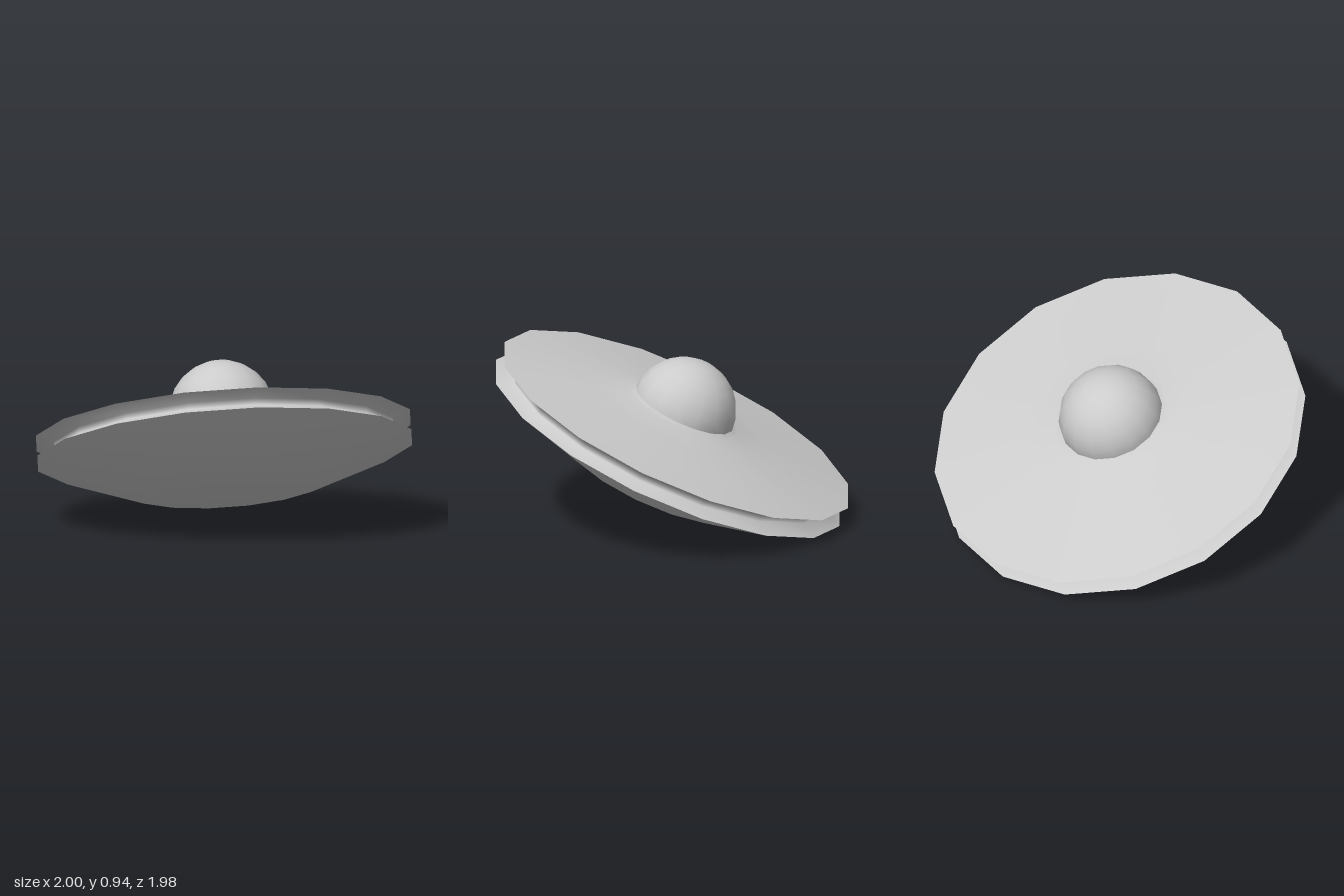
import * as THREE from 'three';

const SIDES = 16;
const RIM = 1.025;

export function createModel() {
  const material = new THREE.MeshStandardMaterial({ color: 0xcccccc });
  const saucer = new THREE.Group();
  saucer.name = 'saucer';

  // Profiles are [radius, height], listed from bottom to top of the outside
  const addRing = (name, profile) => {
    const points = profile.map(([r, y]) => new THREE.Vector2(r, y));
    const mesh = new THREE.Mesh(new THREE.LatheGeometry(points, SIDES), material);
    mesh.name = name;
    saucer.add(mesh);
  };

  // Shallow bowl with a flat floor
  addRing('lowerHull', [[0, -0.25], [0.54, -0.25], [RIM, -0.055]]);

  // Recessed channel between the two rims
  addRing('rimGroove', [[RIM, -0.055], [0.93, -0.018], [0.93, 0.018], [RIM, 0.055]]);

  // Gently rising deck with a small flare around the dome
  addRing('upperHull', [[RIM, 0.055], [0.5, 0.118], [0.32, 0.146], [0.28, 0.165]]);

  // Cockpit dome
  const dome = new THREE.Mesh(new THREE.SphereGeometry(0.287, SIDES, 12), material);
  dome.name = 'dome';
  dome.position.y = 0.15;
  saucer.add(dome);

  // Banked pose: raised at the front and on its left
  saucer.rotation.set(-0.315, 0, 0.285, 'ZYX');
  saucer.position.set(0, 0.471, 0.004);

  const model = new THREE.Group();
  model.name = 'flyingSaucer';
  model.add(saucer);
  return model;
}
